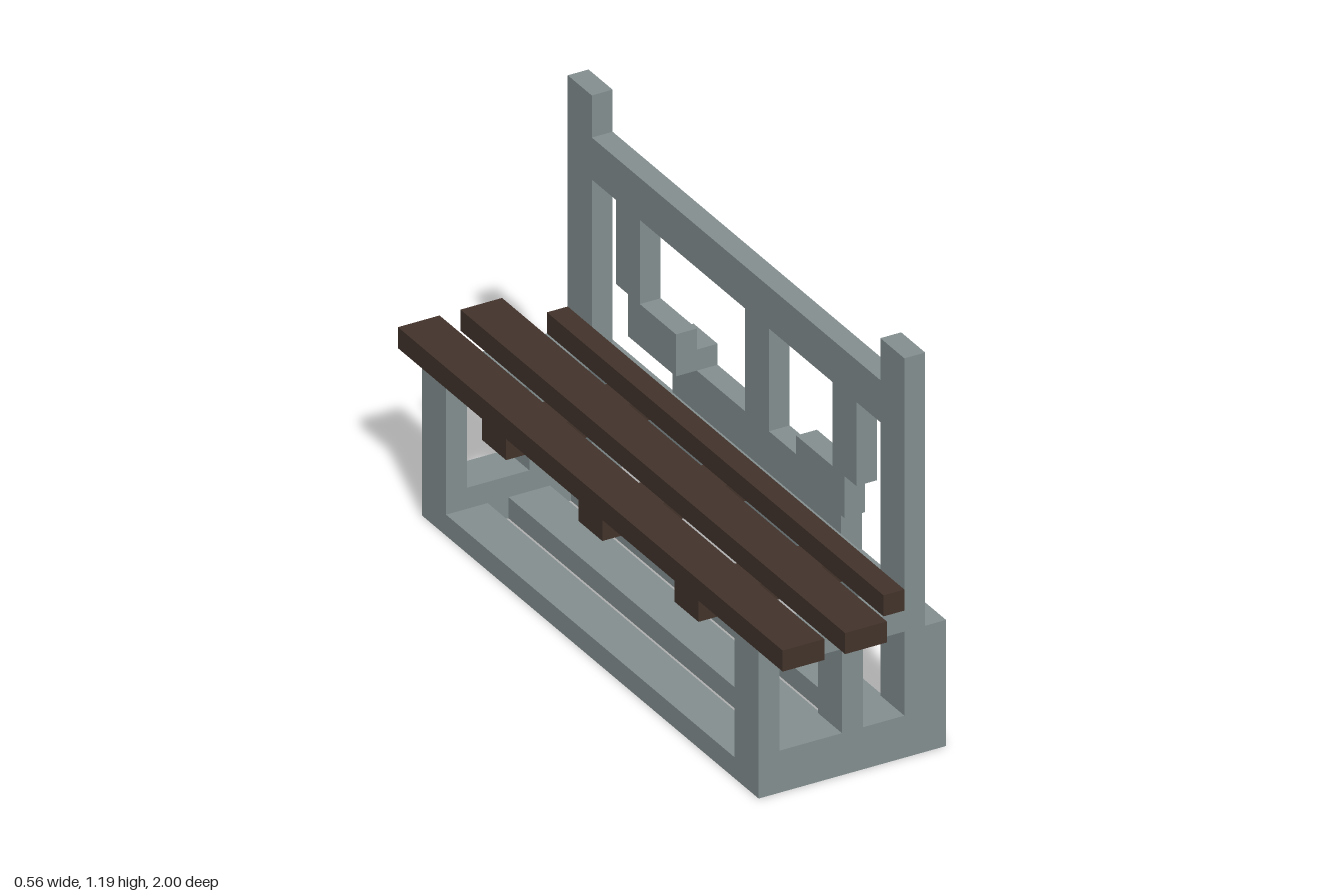
import * as THREE from 'three';

const U = 1 / 16; // modelling unit

export function createModel() {
  const model = new THREE.Group();
  model.name = 'bench';
  const stone = new THREE.MeshStandardMaterial({ color: 0x838e8f });
  stone.name = 'grey stone';
  const wood = new THREE.MeshStandardMaterial({ color: 0x42332b });
  wood.name = 'dark wood';

  // Box given by its limits in units
  function box(name, mat, x0, x1, y0, y1, z0, z1) {
    const mesh = new THREE.Mesh(new THREE.BoxGeometry((x1 - x0) * U, (y1 - y0) * U, (z1 - z0) * U), mat);
    mesh.position.set((x0 + x1) * U / 2, (y0 + y1) * U / 2, (z0 + z1) * U / 2);
    mesh.name = name;
    model.add(mesh);
  }
  // The same box at both ends of the bench
  function pair(name, mat, x0, x1, y0, y1, z0, z1) {
    box(name + 'Left', mat, x0, x1, y0, y1, z0, z1);
    box(name + 'Right', mat, x0, x1, y0, y1, -z1, -z0);
  }
  const outline = (pts, Type) => new Type(pts.map(([x, y]) => new THREE.Vector2(x * U, y * U)));
  const rect = (x0, x1, y0, y1) => [[x0, y0], [x1, y0], [x1, y1], [x0, y1]];

  // End frames: base, front leg, middle post, arm rail and tall back post
  const frame = outline([[-4.5, 0], [3.5, 0], [3.5, 19], [2.5, 19], [2.5, 7], [-4.5, 7]], THREE.Shape);
  frame.holes.push(outline(rect(-3.5, -0.5, 2, 6), THREE.Path), outline(rect(0.5, 2.5, 2, 6), THREE.Path));
  const frameGeometry = new THREE.ExtrudeGeometry(frame, { depth: 2 * U, bevelEnabled: false });
  for (const z of [12, -14]) {
    const mesh = new THREE.Mesh(frameGeometry, stone);
    mesh.position.z = z * U;
    mesh.name = z > 0 ? 'endFrameLeft' : 'endFrameRight';
    model.add(mesh);
  }

  // Floor slats between the end frames
  for (const x of [-4.5, -1.5, 1.5]) box('floorSlat', stone, x, x + 2, 0, 1, -12, 12);

  // Backrest, inner layer
  box('lowerBackRail', stone, 2.5, 3.5, 5, 7, -12, 12);
  box('topBackRail', stone, 2.5, 3.5, 15, 17, -12, 12);
  pair('hangingBracket', stone, 2.5, 3.5, 11, 15, 8, 10);
  pair('bracketFoot', stone, 2.5, 3.5, 9, 11, 5, 9);

  // Backrest, outer layer
  box('backPanel', stone, 3.5, 4.5, 7, 9, -5, 5);
  box('backCentrePost', stone, 3.5, 4.5, 9, 15, -1, 1);
  pair('backBlock', stone, 3.5, 4.5, 5, 10, 5, 7);
  pair('backLedge', stone, 3.5, 4.5, 5, 6, 7, 14);
  pair('backFoot', stone, 3.5, 4.5, 0, 5, 13, 14);

  // Wooden seat boards and the cross battens below them
  box('frontSeatBoard', wood, -4.5, -2.5, 7, 8, -16, 16);
  box('middleSeatBoard', wood, -1.5, 0.5, 7, 8, -16, 16);
  box('rearSeatBoard', wood, 1.5, 2.5, 7, 8, -14, 14);
  for (const z of [-8, 0, 8]) box('seatBatten', wood, -4.5, 2.5, 6, 7, z - 1, z + 1);

  return model;
}
